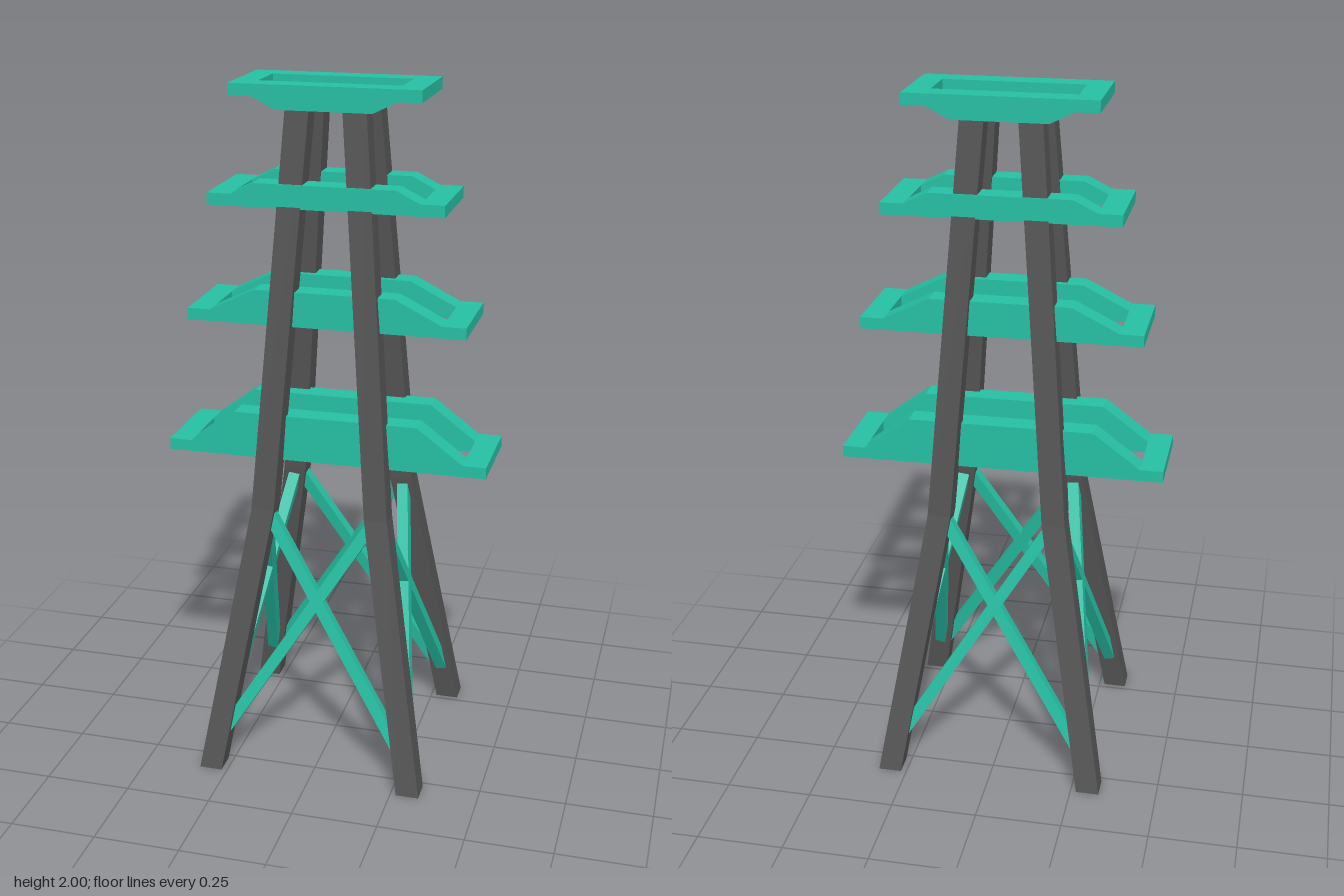
import * as THREE from 'three';

const U = 1 / 15; // base module of the design
const paint = new THREE.MeshStandardMaterial({ color: 0x26bfa3, flatShading: true });
const dark = new THREE.MeshStandardMaterial({ color: 0x555555, flatShading: true });

// Leg centre line: [offset from the axis, height], with a knee between two slopes
const LEG = [[4.5 * U, 0], [2.5 * U, 0.8], [1.2 * U, 29 * U]];

function add(parent, name, geometry, material) {
  const mesh = new THREE.Mesh(geometry, material);
  mesh.name = name;
  parent.add(mesh);
  return mesh;
}

// Square post bent at the knee, its cross-sections kept level
function legGeometry(sx, sz) {
  const geo = new THREE.BoxGeometry(U, 2, U, 1, 2, 1);
  const p = geo.attributes.position;
  for (let i = 0; i < p.count; i++) {
    const [offset, y] = LEG[Math.round(p.getY(i)) + 1];
    p.setXYZ(i, p.getX(i) + sx * offset, y, p.getZ(i) + sz * offset);
  }
  geo.computeVertexNormals();
  return geo;
}

// Bar from a to b, with its flat side square to the given face direction
function addBrace(parent, a, b, out) {
  const along = b.clone().sub(a);
  const bar = add(parent, 'crossBrace', new THREE.BoxGeometry(U / 2, along.length(), U / 2), paint);
  along.normalize();
  const side = along.clone().cross(out).normalize();
  const normal = side.clone().cross(along);
  bar.quaternion.setFromRotationMatrix(new THREE.Matrix4().makeBasis(side, along, normal));
  bar.position.copy(a).add(b).multiplyScalar(0.5);
}

// Rectangular frame: two shaped long rails joined by two flat end bars
// half: half length, shoulder/tip: half widths of the sloped web, rise: web height (negative hangs)
function addCrossarm(parent, name, y, half, shoulder, tip, rise) {
  const arm = new THREE.Group();
  arm.name = name;
  arm.position.y = y;
  parent.add(arm);
  const t = U / 2;
  const edge = rise > 0 ? t : 0; // edge of the flat strip the web grows from
  const other = t - edge;
  const pts = [
    [-half, other], [half, other], [half, edge], [shoulder, edge],
    [tip, edge + rise], [-tip, edge + rise], [-shoulder, edge], [-half, edge],
  ];
  const shape = new THREE.Shape(pts.map(([x, h]) => new THREE.Vector2(x, h)));
  for (const z of [U, -2 * U]) {
    const rail = add(arm, 'rail', new THREE.ExtrudeGeometry(shape, { depth: U, bevelEnabled: false }), paint);
    rail.position.z = z;
  }
  for (const s of [-1, 1]) {
    const end = add(arm, 'endBar', new THREE.BoxGeometry(U, t, 2 * U), paint);
    end.position.set(s * (half - U / 2), t / 2, 0);
  }
}

export function createModel() {
  const model = new THREE.Group();
  model.name = 'latticeTower';

  // Four legs
  for (const sx of [-1, 1]) for (const sz of [-1, 1]) add(model, 'leg', legGeometry(sx, sz), dark);

  // X bracing on each of the four lower faces
  const low = 0.287, high = 2.5 * U;
  for (let i = 0; i < 4; i++) {
    const face = new THREE.Group();
    face.name = 'braceFace';
    face.rotation.y = (i * Math.PI) / 2;
    model.add(face);
    const out = new THREE.Vector3(0, low - high, 0.72).normalize();
    for (const s of [-1, 1]) {
      addBrace(face, new THREE.Vector3(-s * low, 0.08, low), new THREE.Vector3(s * high, 0.8, high), out);
    }
  }

  // Crossarm frames, lowest to highest
  addCrossarm(model, 'lowerCrossarm', 14 * U, 7 * U, 6 * U, 4 * U, 1.5 * U);
  addCrossarm(model, 'middleCrossarm', 20 * U, 6 * U, 5 * U, 3 * U, U);
  addCrossarm(model, 'upperCrossarm', 25 * U, 5 * U, 4 * U, 3 * U, U / 2);
  addCrossarm(model, 'topFrame', 29.5 * U, 4 * U, 3 * U, 2 * U, -U / 2);

  return model;
}
